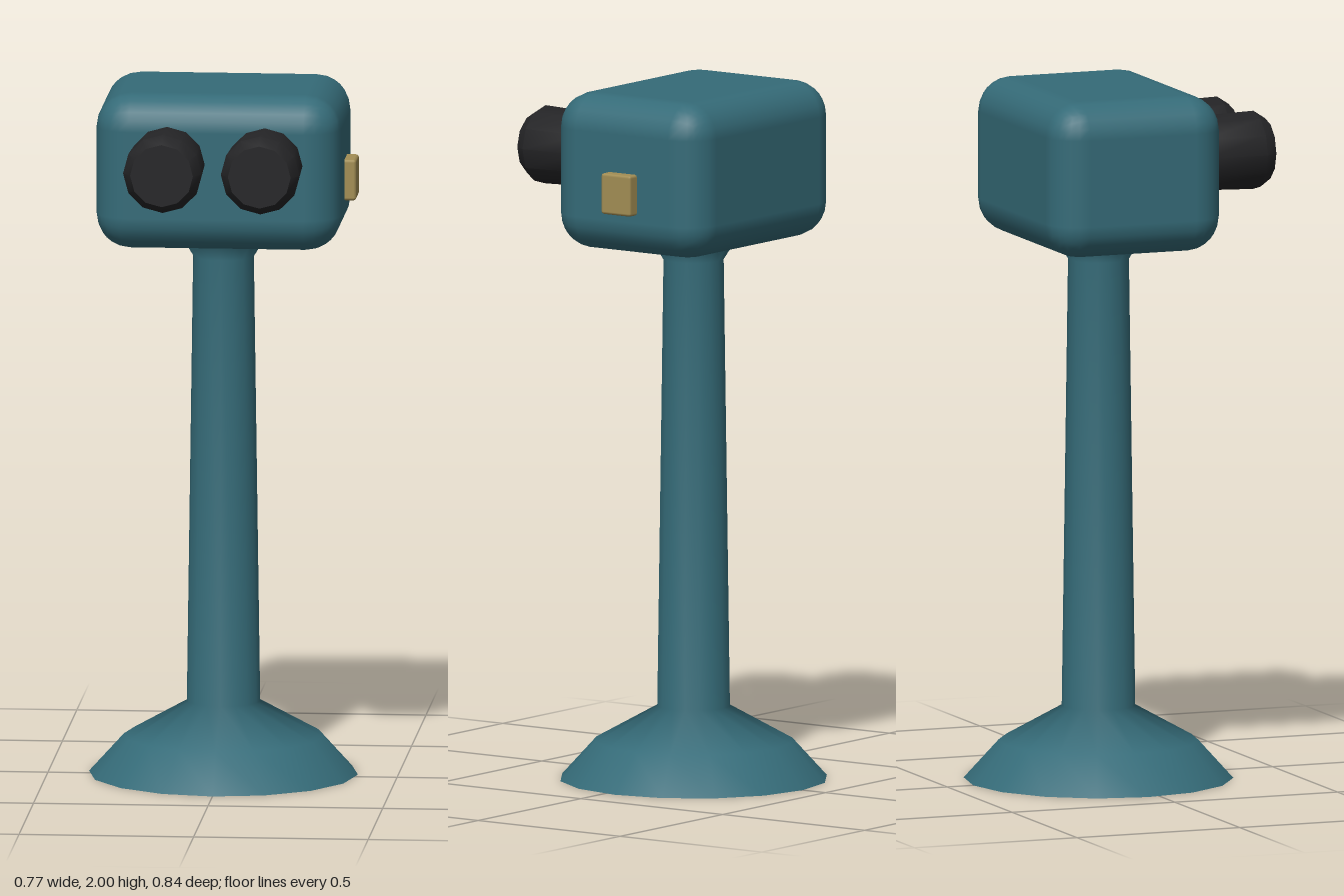
import * as THREE from 'three';
import { RoundedBoxGeometry } from 'three/addons/geometries/RoundedBoxGeometry.js';
import { toCreasedNormals } from 'three/addons/utils/BufferGeometryUtils.js';

const teal = new THREE.MeshStandardMaterial({ color: 0x356b78, side: THREE.DoubleSide });
const black = new THREE.MeshStandardMaterial({ color: 0x242426 });
const brass = new THREE.MeshStandardMaterial({ color: 0xa38e54 });

const AXIS_Z = -0.035; // the stand and head share this centre line

function lathe(points, sides) {
  return new THREE.LatheGeometry(points.map(([r, y]) => new THREE.Vector2(r, y)), sides);
}

export function createModel() {
  const model = new THREE.Group();
  const add = (name, geometry, material, x, y, z) => {
    const mesh = new THREE.Mesh(geometry, material);
    mesh.name = name;
    mesh.position.set(x, y, z);
    model.add(mesh);
    return mesh;
  };

  // Hollow flared foot, tapering pole and collar under the head
  const standProfile = [
    [0.385, 0], [0.285, 0.11], [0.105, 0.21], [0.087, 1.5], [0.125, 1.56],
  ];
  add('stand', lathe(standProfile, 16), teal, 0, 0, AXIS_Z);

  // Rounded viewer housing
  add('head', new RoundedBoxGeometry(0.7, 0.45, 0.525, 3, 0.1), teal, 0, 1.775, AXIS_Z);

  // Pair of eyepieces, slightly wider toward the chamfered front rim
  const eyepieceProfile = [[0, 0], [0.107, 0], [0.113, 0.185], [0.09, 0.22], [0, 0.22]];
  const eyepiece = toCreasedNormals(lathe(eyepieceProfile, 12), 0.65);
  for (const side of [-1, 1]) {
    const name = side < 0 ? 'rightEyepiece' : 'leftEyepiece';
    add(name, eyepiece, black, side * 0.14, 1.81, 0.2).rotation.x = Math.PI / 2;
  }

  // Coin box on the left side of the head
  add('coinBox', new RoundedBoxGeometry(0.05, 0.118, 0.104, 1, 0.008), brass, 0.359, 1.732, -0.037);

  return model;
}
